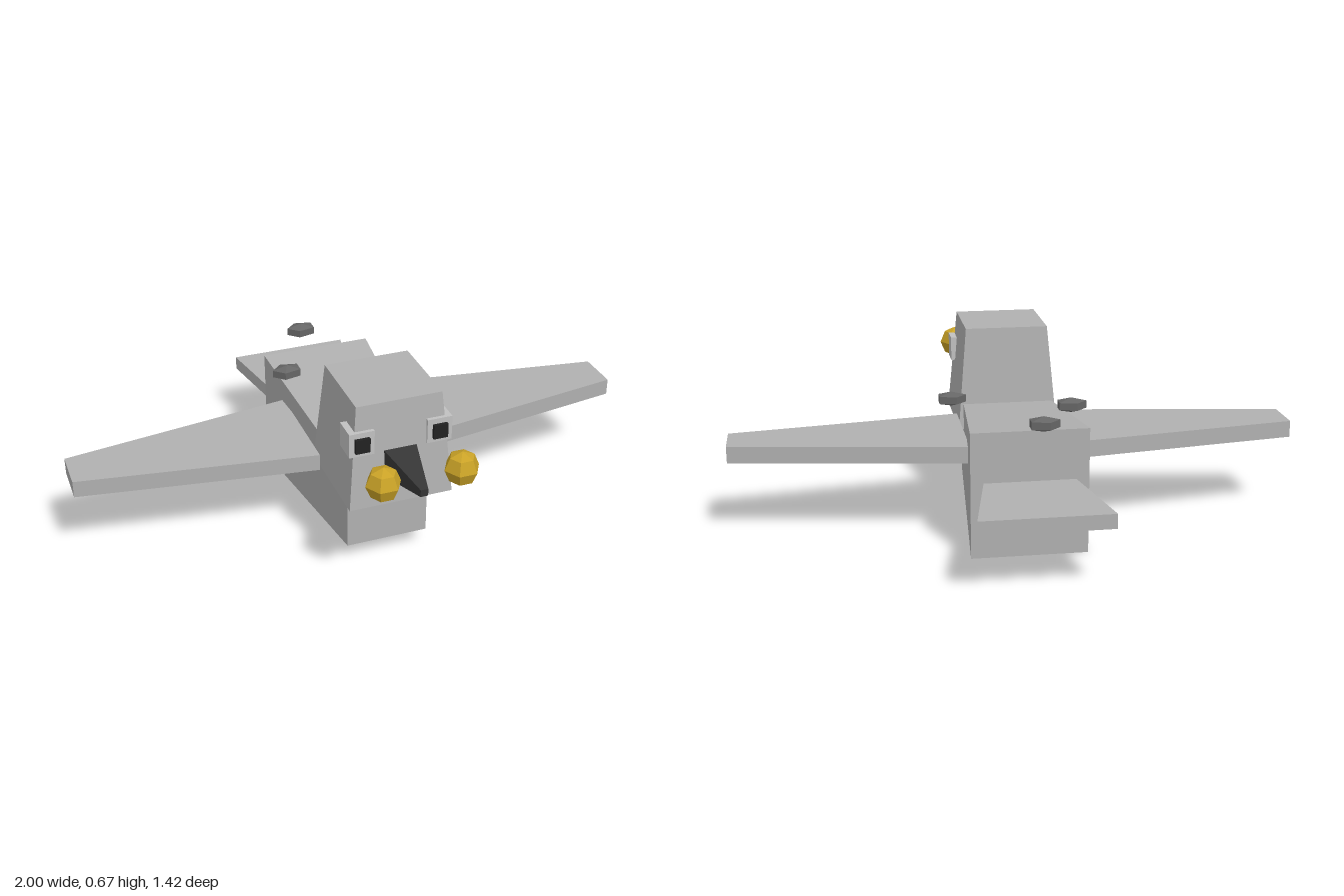
import * as THREE from 'three';

const grey = (name, color) => {
  const m = new THREE.MeshStandardMaterial({ color, flatShading: true });
  m.name = name;
  return m;
};

// Box whose cross-section is scaled by (sx, sy, sz) at its positive end along one axis
function taperedBox(w, h, d, axis, sx, sy, sz) {
  const g = new THREE.BoxGeometry(w, h, d);
  const p = g.attributes.position;
  const v = new THREE.Vector3();
  for (let i = 0; i < p.count; i++) {
    v.fromBufferAttribute(p, i);
    if (v[axis] > 0) v.multiply(new THREE.Vector3(sx, sy, sz));
    p.setXYZ(i, v.x, v.y, v.z);
  }
  g.computeVertexNormals();
  return g;
}

export function createModel() {
  const model = new THREE.Group();
  model.name = 'blockBird';

  const plumage = grey('plumageGrey', 0xb0b0b0);
  const eyeGrey = grey('eyeGrey', 0xc0c0c0);
  const beakDark = grey('beakCharcoal', 0x363636);
  const pupilDark = grey('pupilBlack', 0x222222);
  const stone = grey('pebbleGrey', 0x666666);
  const gold = grey('gold', 0xc9a227);

  const add = (name, geometry, material, x, y, z) => {
    const mesh = new THREE.Mesh(geometry, material);
    mesh.name = name;
    mesh.position.set(x, y, z);
    model.add(mesh);
    return mesh;
  };

  // Body narrows to the front, head narrows to the top
  add('body', taperedBox(0.4, 0.44, 0.742, 'z', 0.72, 0.68, 1), plumage, 0, 0.22, 0);
  add('head', taperedBox(0.36, 0.365, 0.362, 'y', 0.82, 1, 0.815), plumage, 0, 0.4825, 0.31);

  // Tail fans out to the back
  const tail = add('tail', taperedBox(0.31, 0.05, 0.345, 'z', 1.42, 1, 1), plumage, 0, 0.24, -0.5375);
  tail.rotation.y = Math.PI;

  // Beak
  add('beak', taperedBox(0.116, 0.1, 0.21, 'z', 0.22, 0.25, 1), beakDark, 0, 0.447, 0.57);

  const wing = taperedBox(0.82, 0.06, 0.4, 'x', 1, 1, 0.38);
  const eye = new THREE.BoxGeometry(0.086, 0.086, 0.086);
  const pupil = new THREE.BoxGeometry(0.05, 0.05, 0.03);
  const bead = new THREE.SphereGeometry(0.059, 6, 4);
  for (const [side, s] of [['left', 1], ['right', -1]]) {
    add(side + 'Wing', wing, plumage, s * 0.59, 0.31, -0.003).rotation.y = s > 0 ? 0 : Math.PI;
    add(side + 'Eye', eye, eyeGrey, s * 0.134, 0.537, 0.435);
    add(side + 'Pupil', pupil, pupilDark, s * 0.134, 0.536, 0.475);
    add(side + 'GoldBead', bead, gold, s * 0.132, 0.502, 0.658);
  }

  // Pebbles floating above the back
  const pebble = new THREE.SphereGeometry(1, 5, 3).scale(0.062, 0.026, 0.042);
  [[0.212, 0.431, 0.083], [-0.172, 0.467, -0.18], [-0.032, 0.484, -0.442]].forEach(
    ([x, y, z], i) => add('pebble' + (i + 1), pebble, stone, x, y, z));

  return model;
}
